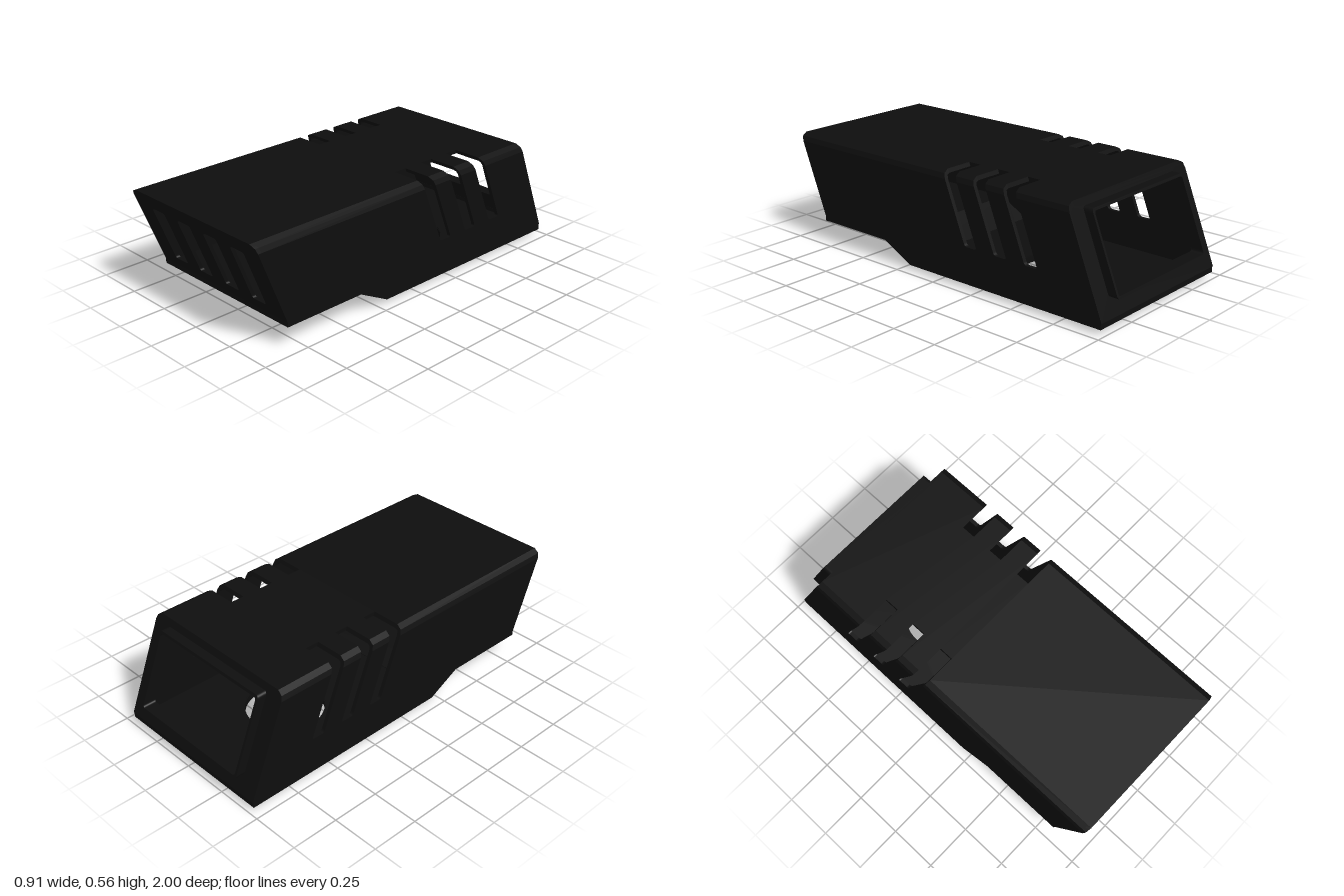
import * as THREE from 'three';

const W = 0.457, TOP = 0.565, SHOULDER = 0.525, T = 0.02;  // half width, heights, wall
const LEAN = 0.4;                                          // backward slant of ends and slots
const FRONT = 1, BACK = -0.78;                             // end positions along the roof
const SLOTS = [[-0.035, -0.11], [-0.22, -0.295], [-0.405, -0.48]];
const SLOT_FLOOR = 0.215, SLOT_REACH = 0.27;

const leanZ = (s, y) => s + LEAN * (y - TOP);

export function createModel() {
  const group = new THREE.Group();
  const material = new THREE.MeshStandardMaterial({ color: 0x0e0e0e, side: THREE.DoubleSide });

  const add = (name, geometry) => {
    const mesh = new THREE.Mesh(geometry, material);
    mesh.name = name;
    group.add(mesh);
    return mesh;
  };
  const polygon = (pts) => new THREE.Shape(pts.map(([x, y]) => new THREE.Vector2(x, y)));
  const extrude = (shape, depth) =>
    new THREE.ExtrudeGeometry(shape, { depth, bevelEnabled: false, curveSegments: 32 });

  // Cross-section in x/y run from roof position s0 to s1, then slanted
  const slanted = (shape, s0, s1) => {
    const g = extrude(shape, s1 - s0).translate(0, 0, s0);
    const p = g.attributes.position;
    for (let i = 0; i < p.count; i++) p.setZ(i, leanZ(p.getZ(i), p.getY(i)));
    g.computeVertexNormals();
    return g;
  };

  // Profile in z/y run across the width from x0 to x1
  const across = (shape, x0, x1) =>
    extrude(shape, x1 - x0).rotateY(-Math.PI / 2).translate(x1, 0, 0);

  const roundedRect = (PathType, x0, y0, x1, y1, r) => {
    const p = new PathType();
    p.moveTo(x0 + r, y0);
    p.lineTo(x1 - r, y0).quadraticCurveTo(x1, y0, x1, y0 + r);
    p.lineTo(x1, y1 - r).quadraticCurveTo(x1, y1, x1 - r, y1);
    p.lineTo(x0 + r, y1).quadraticCurveTo(x0, y1, x0, y1 - r);
    p.lineTo(x0, y0 + r).quadraticCurveTo(x0, y0, x0 + r, y0);
    return p;
  };

  // Side walls, notched by the slanted slots
  const side = new THREE.Shape();
  side.moveTo(-0.98, 0.025);
  for (const [z, y] of [[0.2, 0.025], [0.375, 0.115], [0.83, 0.115], [0.83, 0.14]]) side.lineTo(z, y);
  side.lineTo(leanZ(FRONT, SHOULDER), SHOULDER);
  const r = 0.015;
  for (const [a, b] of SLOTS) {
    const za = leanZ(a, SLOT_FLOOR), zb = leanZ(b, SLOT_FLOOR);
    side.lineTo(leanZ(a, SHOULDER), SHOULDER);
    side.lineTo(leanZ(a, SLOT_FLOOR + r), SLOT_FLOOR + r);
    side.quadraticCurveTo(za, SLOT_FLOOR, za - r, SLOT_FLOOR);
    side.lineTo(zb + r, SLOT_FLOOR);
    side.quadraticCurveTo(zb, SLOT_FLOOR, leanZ(b, SLOT_FLOOR + r), SLOT_FLOOR + r);
    side.lineTo(leanZ(b, SHOULDER), SHOULDER);
  }
  side.lineTo(leanZ(BACK, SHOULDER), SHOULDER);
  side.lineTo(-0.98, 0.055);
  add('leftWall', across(side, W - T, W));
  add('rightWall', across(side, -W, -W + T));

  // Roof with bevelled shoulders, narrowed where the slots cut in
  const outer = [[W, SHOULDER], [0.449, 0.55], [0.42, TOP]];
  const inner = [[0.415, TOP - T], [0.431, 0.54], [W - T, SHOULDER]];
  const flip = (pts) => pts.map(([x, y]) => [-x, y]).reverse();
  const roof = polygon([...outer, ...flip(outer), ...flip(inner), ...inner]);
  const narrowRoof = polygon([
    [SLOT_REACH, TOP - T], [SLOT_REACH, TOP], [-SLOT_REACH, TOP], [-SLOT_REACH, TOP - T]]);
  let start = FRONT;
  for (const [a, b] of SLOTS) {
    add('roof', slanted(roof, a, start));
    add('roofBetweenSlots', slanted(narrowRoof, b, a));
    start = b;
  }
  add('roof', slanted(roof, BACK, start));

  // Front grille with four upright openings
  const panel = (y0) => polygon([[-W, y0], [W, y0], ...outer, ...flip(outer)]);
  const grille = panel(0.138);
  for (const x of [-0.289, -0.0965, 0.0965, 0.289]) {
    grille.holes.push(roundedRect(THREE.Path, x - 0.048, 0.19, x + 0.048, 0.487, 0.015));
  }
  add('frontGrille', slanted(grille, FRONT - T, FRONT));

  // Rear frame and the thin collar standing out of it
  const frame = panel(0.055);
  frame.holes.push(roundedRect(THREE.Path, -0.36, 0.14, 0.36, 0.53, 0.02));
  add('rearFrame', slanted(frame, BACK, BACK + T));
  const collar = roundedRect(THREE.Shape, -0.36, 0.14, 0.36, 0.53, 0.02);
  collar.holes.push(roundedRect(THREE.Path, -0.347, 0.153, 0.347, 0.517, 0.015));
  add('rearCollar', slanted(collar, -0.83, BACK + T));

  // Stepped front part of the floor
  add('frontFloor', across(polygon([
    [0.2, 0.025], [0.375, 0.115], [0.83, 0.115], [0.83, 0.14], [0.81, 0.14],
    [0.81, 0.13], [0.37, 0.13], [0.2, 0.04]]), -W, W));
  add('rearSill', across(polygon([
    [-0.98, 0.025], [-0.96, 0.025], [-0.96, 0.06], [-0.98, 0.056]]), -W, W));

  // Rear floor with a round opening and its rim
  const HOLE_Z = -0.39;
  const floor = polygon([[-W, -0.98], [W, -0.98], [W, 0.2], [-W, 0.2]]);
  floor.holes.push(new THREE.Path().absarc(0, HOLE_Z, 0.205, 0, Math.PI * 2, true));
  add('rearFloor', extrude(floor, 0.013).rotateX(Math.PI / 2).translate(0, 0.038, 0));
  const rim = new THREE.Shape().absarc(0, HOLE_Z, 0.21, 0, Math.PI * 2, false);
  rim.holes.push(new THREE.Path().absarc(0, HOLE_Z, 0.2, 0, Math.PI * 2, true));
  add('floorRim', extrude(rim, 0.036).rotateX(Math.PI / 2).translate(0, 0.036, 0));

  return group;
}
